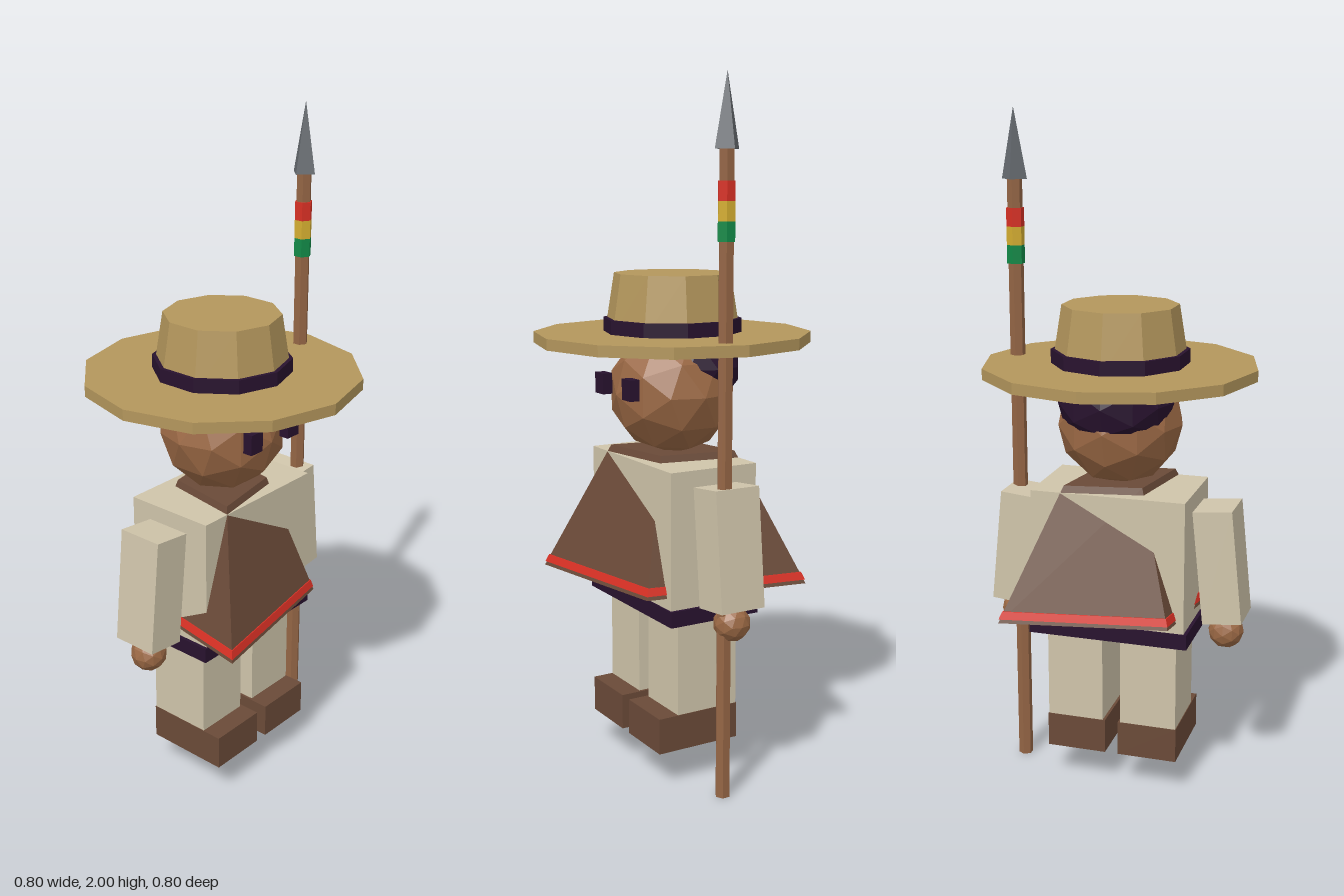
import * as THREE from 'three';

const paint = (name, color) => {
  const m = new THREE.MeshStandardMaterial({ color, flatShading: true });
  m.name = name;
  return m;
};

export function createModel() {
  const model = new THREE.Group();
  model.name = 'spearGuard';

  const straw = paint('straw', 0xb3965c);
  const dark = paint('darkPurple', 0x28122e);
  const skin = paint('skin', 0x9a6844);
  const cloth = paint('creamCloth', 0xcfc4aa);
  const brown = paint('brownWool', 0x6a4a38);
  const red = paint('red', 0xd83024);
  const yellow = paint('yellow', 0xd4ad30);
  const green = paint('green', 0x128a48);
  const wood = paint('wood', 0x946545);
  const steel = paint('steel', 0x666b70);

  const add = (name, geo, mat, x, y, z) => {
    const mesh = new THREE.Mesh(geo, mat);
    mesh.name = name;
    mesh.position.set(x, y, z);
    model.add(mesh);
    return mesh;
  };
  // Box given by its size and centre
  const box = (name, mat, w, h, d, x, y, z) =>
    add(name, new THREE.BoxGeometry(w, h, d), mat, x, y, z);
  // Upright prism or frustum between two heights
  const drum = (name, mat, rTop, rBottom, y0, y1, sides, x = 0, z = 0) =>
    add(name, new THREE.CylinderGeometry(rTop, rBottom, y1 - y0, sides), mat, x, (y0 + y1) / 2, z);
  const ball = (name, mat, r, x, y, z) =>
    add(name, new THREE.IcosahedronGeometry(r, 1), mat, x, y, z);

  // Hat
  drum('hatBrim', straw, 0.4, 0.4, 1.26, 1.292, 12);
  drum('hatCrown', straw, 0.168, 0.195, 1.29, 1.46, 10);
  drum('hatBand', dark, 0.2, 0.2, 1.291, 1.332, 10);

  // Head and hair
  ball('head', skin, 0.185, 0, 1.12, 0);
  ball('hair', dark, 0.15, 0, 1.195, -0.05).scale.set(1.15, 1, 1);

  // Torso and belt
  box('torso', cloth, 0.46, 0.4, 0.28, 0, 0.73, 0);
  box('belt', dark, 0.48, 0.046, 0.29, 0, 0.513, 0);

  // Poncho: a diamond-shaped frustum with its long axis on one diagonal
  const top = 0.95, bottom = 0.567, rTop = 0.186, rBottom = 0.4;
  const radiusAt = (y) => rTop + (rBottom - rTop) * (top - y) / (top - bottom);
  const diamond = (name, mat, y0, y1, extra) => {
    const part = drum(name, mat, radiusAt(y1) + extra, radiusAt(y0) + extra, y0, y1, 4);
    part.scale.x = 0.7;
    part.rotation.y = -Math.PI / 4;
  };
  diamond('poncho', brown, bottom, top, 0);
  diamond('ponchoStripe', red, 0.578, 0.6, 0.005);

  // Paired parts
  for (const s of [1, -1]) {
    const side = s > 0 ? 'left' : 'right';
    box(side + 'Eye', dark, 0.048, 0.06, 0.03, s * 0.08, 1.145, 0.182);
    box(side + 'Arm', cloth, 0.116, 0.34, 0.14, s * 0.309, 0.72, 0).rotation.z = s * 0.1;
    ball(side + 'Hand', skin, 0.053, s * 0.325, 0.507, 0);
    box(side + 'Leg', cloth, 0.17, 0.3, 0.196, s * 0.113, 0.35, 0);
    box(side + 'Shoe', brown, 0.18, 0.105, 0.26, s * 0.11, 0.158, 0.03);
  }

  // Spear with three painted rings
  const sx = 0.324, sz = 0.026;
  drum('spearShaft', wood, 0.022, 0.022, 0, 1.8, 6, sx, sz);
  [green, yellow, red].forEach((mat, i) => {
    const y = 1.56 + i * 0.053;
    drum(mat.name + 'Ring', mat, 0.026, 0.026, y, y + 0.053, 6, sx, sz);
  });
  add('spearTip', new THREE.ConeGeometry(0.038, 0.2, 4), steel, sx, 1.9, sz);

  return model;
}
